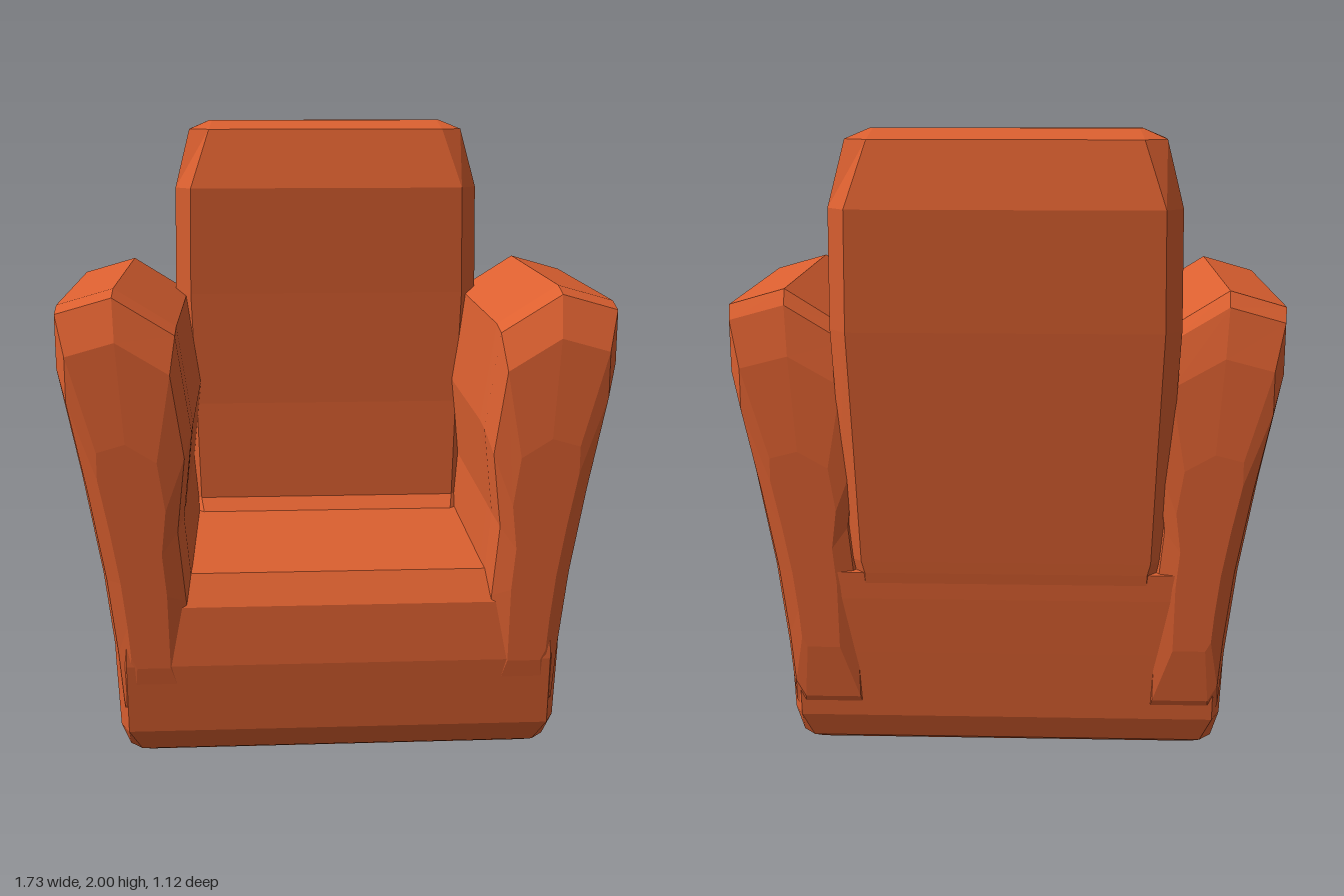
import * as THREE from 'three';

const material = new THREE.MeshStandardMaterial({ color: 0xdc6030, flatShading: true, roughness: 0.9 });

// Skins a stack of closed rings (counter-clockwise seen from the stacking direction) and caps both ends.
function loft(name, rings) {
  const n = rings[0].length;
  const positions = rings.flat(2);
  const index = [];
  for (let k = 0; k < rings.length - 1; k++) {
    for (let i = 0; i < n; i++) {
      const j = (i + 1) % n;
      const a = k * n + i, b = k * n + j, c = b + n, d = a + n;
      index.push(a, b, c, a, c, d);
    }
  }
  const addCap = (k, flip) => {
    const centre = [0, 1, 2].map(axis => rings[k].reduce((sum, p) => sum + p[axis], 0) / n);
    const c = positions.length / 3;
    positions.push(...centre);
    for (let i = 0; i < n; i++) {
      const a = k * n + i, b = k * n + (i + 1) % n;
      if (flip) index.push(c, b, a);
      else index.push(c, a, b);
    }
  };
  addCap(0, true);
  addCap(rings.length - 1, false);
  const geometry = new THREE.BufferGeometry();
  geometry.setAttribute('position', new THREE.Float32BufferAttribute(positions, 3));
  geometry.setIndex(index);
  geometry.computeVertexNormals();
  const mesh = new THREE.Mesh(geometry, material);
  mesh.name = name;
  return mesh;
}

// Horizontal rectangle with chamfered corners: height, half width, front z, back z, chamfer in x and z.
function slabRing([y, hx, zf, zb, cx, cz]) {
  return [
    [-hx + cx, y, zf], [hx - cx, y, zf], [hx, y, zf - cz], [hx, y, zb + cz],
    [hx - cx, y, zb], [-hx + cx, y, zb], [-hx, y, zb + cz], [-hx, y, zf - cz],
  ];
}

// Front outline of the +x arm, flaring outwards towards the top
const armProfile = [
  [0.45, 0.05], [0.66, 0.05], [0.695, 0.12], [0.712, 0.33], [0.745, 0.62], [0.80, 0.95],
  [0.865, 1.29], [0.865, 1.46], [0.69, 1.51], [0.50, 1.39], [0.455, 1.08], [0.485, 0.8], [0.46, 0.53],
];
// Arm sections from back to front: z, width scale, height scale
const armSections = [
  [-0.492, 0.5, 0.45], [-0.475, 0.86, 0.78], [-0.44, 0.98, 0.95], [-0.40, 1, 1],
  [0.40, 1, 1], [0.48, 0.99, 0.98], [0.54, 0.86, 0.84], [0.561, 0.5, 0.5],
];

function arm(name, side) {
  const middle = y => 0.58 + 0.07 * y;
  const rings = armSections.map(([z, sx, sy]) => {
    const ring = armProfile.map(([x, y]) => {
      const y2 = 0.6 + (y - 0.6) * sy;
      return [side * (middle(y2) + (x - middle(y)) * sx), y2, z];
    });
    return side < 0 ? ring.reverse() : ring;
  });
  return loft(name, rings);
}

export function createModel() {
  const group = new THREE.Group();
  group.name = 'armchair';

  // Seat block with rounded-under bottom and soft front edge
  group.add(loft('seatBase', [
    [0, 0.65, 0.46, -0.42, 0.04, 0.04],
    [0.015, 0.68, 0.485, -0.44, 0.04, 0.04],
    [0.10, 0.705, 0.54, -0.465, 0.03, 0.06],
    [0.33, 0.715, 0.56, -0.478, 0.04, 0.08],
    [0.52, 0.72, 0.545, -0.488, 0.05, 0.07],
    [0.61, 0.70, 0.48, -0.49, 0.05, 0.05],
  ].map(slabRing)));

  // Tall backrest, leaning slightly back and rounded at the top
  group.add(loft('backrest', [
    [0.30, 0.48, -0.17, -0.46, 0.04, 0.04],
    [0.61, 0.49, -0.18, -0.493, 0.04, 0.04],
    [0.65, 0.50, -0.228, -0.496, 0.04, 0.04],
    [1.00, 0.52, -0.24, -0.52, 0.05, 0.05],
    [1.40, 0.538, -0.235, -0.548, 0.055, 0.06],
    [1.77, 0.53, -0.225, -0.562, 0.055, 0.06],
    [1.97, 0.48, -0.29, -0.505, 0.07, 0.04],
    [2.00, 0.41, -0.385, -0.41, 0.01, 0.005],
  ].map(slabRing)));

  group.add(arm('leftArm', 1), arm('rightArm', -1));
  return group;
}
